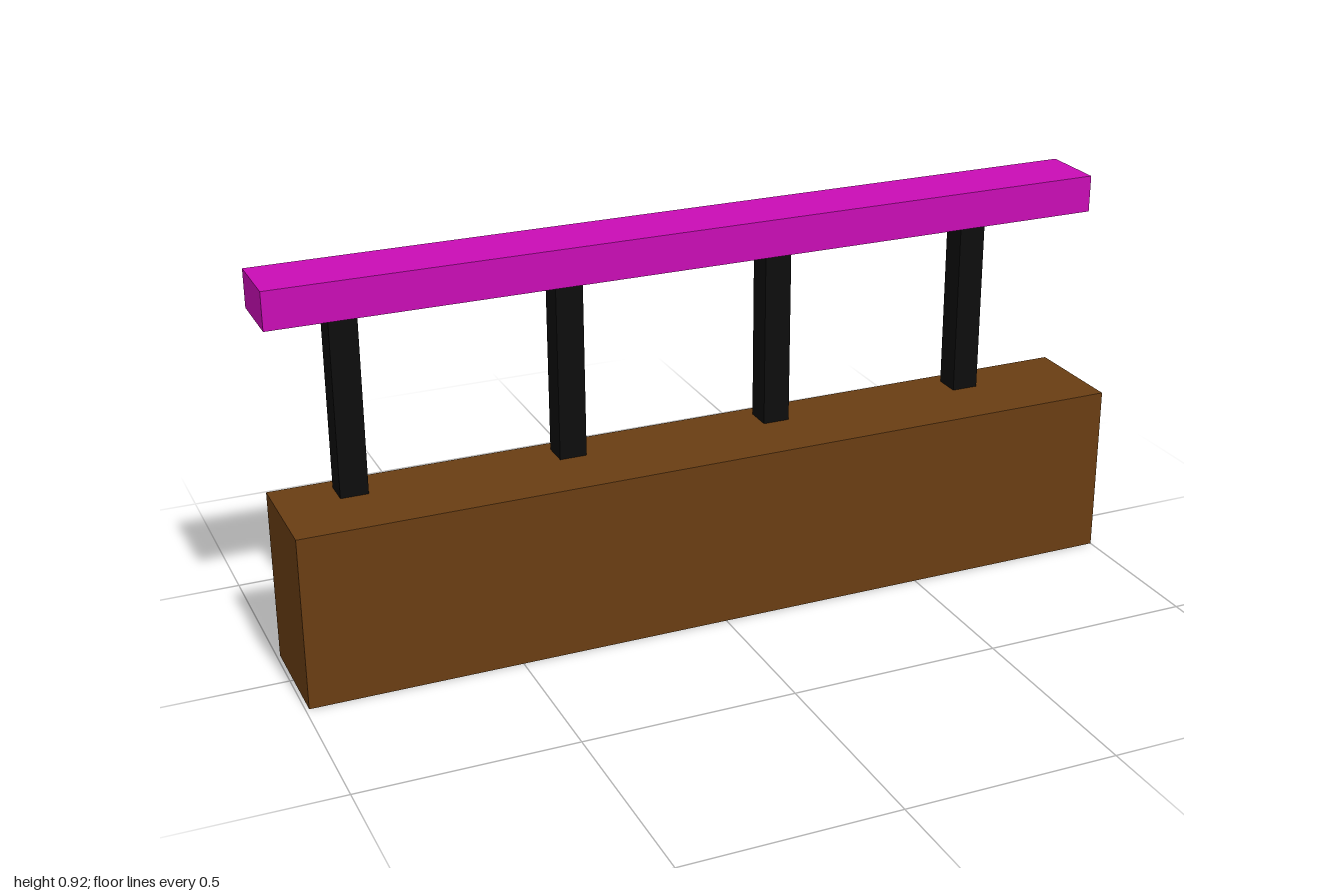
import * as THREE from 'three';

const material = (color) => new THREE.MeshStandardMaterial({ color, flatShading: true });

// Box placed by its bottom height, so parts stack easily
function block(name, [w, h, d], [x, bottom, z], mat) {
  const mesh = new THREE.Mesh(new THREE.BoxGeometry(w, h, d), mat);
  mesh.name = name;
  mesh.position.set(x, bottom + h / 2, z);
  return mesh;
}

export function createModel() {
  const model = new THREE.Group();
  model.name = 'railing';

  const wood = material(0x693d13);
  const iron = material(0x0d0d0d);
  const paint = material(0xc90db5);

  const baseTop = 0.407;
  const railBottom = 0.835;
  const railZ = -0.056;

  // Solid base beam
  model.add(block('base', [1.992, baseTop, 0.259], [0.004, 0, 0.0055], wood));

  // Evenly spaced square posts
  for (let i = 0; i < 4; i++) {
    const x = -0.82 + i * 0.51;
    model.add(block('post', [0.064, railBottom - baseTop, 0.064], [x, baseTop, -0.058], iron));
  }

  // Handrail, overhanging the back of the base a little
  model.add(block('handrail', [2, 0.088, 0.158], [0, railBottom, railZ], paint));

  // The whole railing sits very slightly turned
  model.rotation.y = 0.002;
  return model;
}
